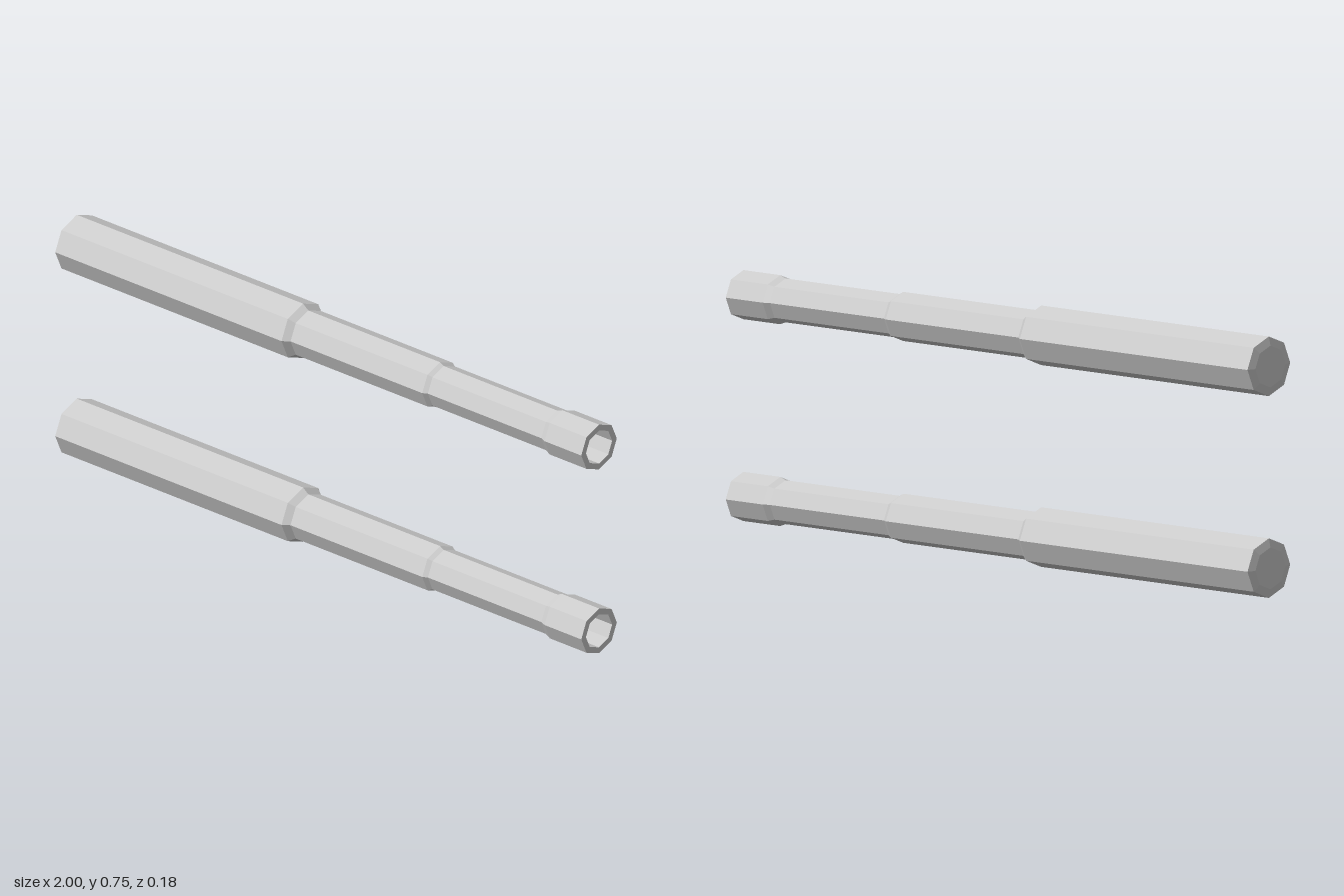
import * as THREE from 'three';

const material = new THREE.MeshStandardMaterial({ color: 0xcccccc, flatShading: true });

// Eight-sided part turned about the x axis; profile is [x, radius] pairs
function turned(name, profile) {
  const points = profile.map(([x, r]) => new THREE.Vector2(r, x));
  const geometry = new THREE.LatheGeometry(points, 8);
  geometry.rotateZ(-Math.PI / 2);
  geometry.scale(1, 1, 1.067); // slightly wider than tall
  const mesh = new THREE.Mesh(geometry, material);
  mesh.name = name;
  return mesh;
}

function createTool(name) {
  const tool = new THREE.Group();
  tool.name = name;
  tool.add(
    // thick grip with a slightly domed butt and a chamfered front
    turned('grip', [[-1, 0], [-1, 0.06], [-0.994, 0.0855], [-0.13, 0.0855], [-0.11, 0.0705]]),
    // shaft stepping down once
    turned('shaft', [[-0.11, 0.0705], [0.393, 0.0705], [0.407, 0.063], [0.84, 0.063]]),
    // flared end with a blind hole
    turned('socket', [[0.84, 0.063], [0.86, 0.0705], [1, 0.0705], [1, 0.052], [0.88, 0.052], [0.88, 0]])
  );
  return tool;
}

export function createModel() {
  const model = new THREE.Group();
  model.name = 'pairOfRods';
  [['lowerRod', 0.087], ['upperRod', 0.666]].forEach(([name, y]) => {
    const rod = createTool(name);
    rod.position.y = y;
    model.add(rod);
  });
  return model;
}
